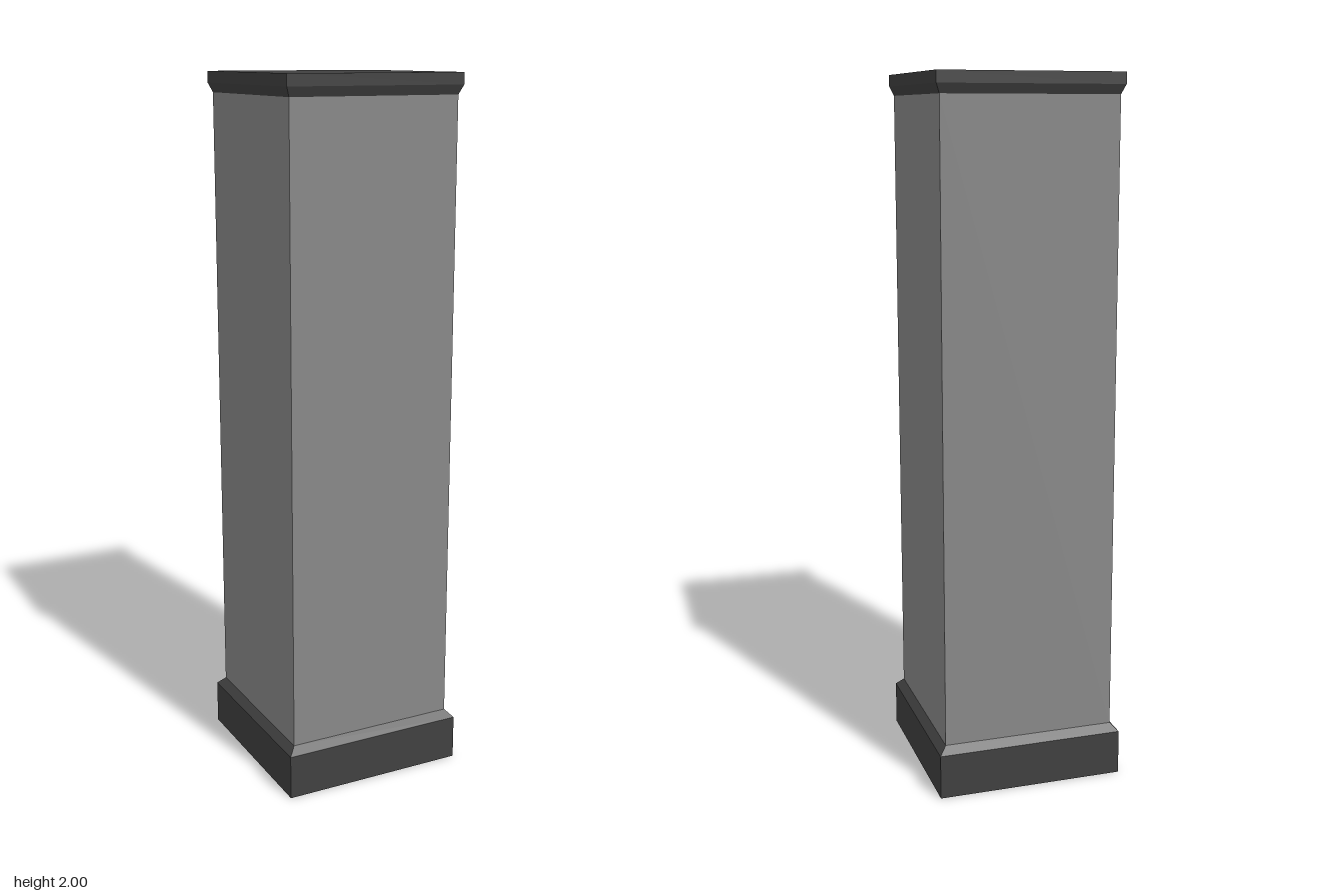
import * as THREE from 'three';

// Square solid from a profile of [half width, height] pairs, listed bottom to top
function squareSolid(name, profile, color) {
  const points = profile.map(([half, y]) => new THREE.Vector2(half * Math.SQRT2, y));
  const geometry = new THREE.LatheGeometry(points, 4, Math.PI / 4);
  const mesh = new THREE.Mesh(geometry, new THREE.MeshStandardMaterial({ color, flatShading: true }));
  mesh.name = name;
  return mesh;
}

export function createModel() {
  const dark = 0x404040, grey = 0x888888;
  const group = new THREE.Group();
  group.name = 'squarePillar';

  // Plinth with a bevelled top edge
  group.add(squareSolid('base', [[0, 0], [0.27, 0], [0.27, 0.128], [0.249, 0.15], [0, 0.15]], dark));
  // Plain square shaft
  group.add(squareSolid('shaft', [[0.249, 0.15], [0.249, 1.942]], grey));
  // Cap flaring out to a thin slab
  group.add(squareSolid('cap', [[0, 1.942], [0.249, 1.942], [0.26, 1.968], [0.26, 2], [0, 2]], dark));

  return group;
}
